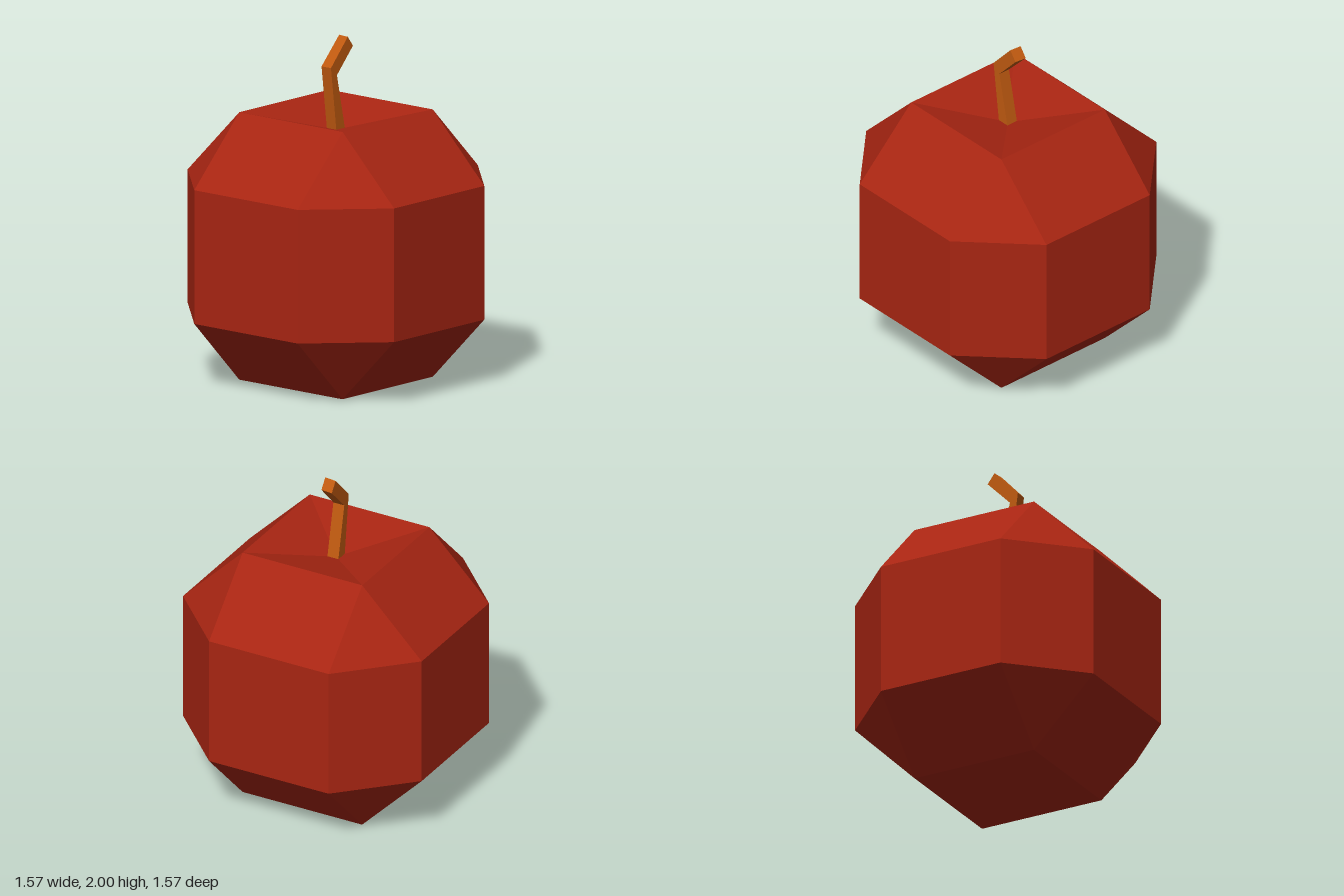
import * as THREE from 'three';

const H = 0.393; // half width of the flat faces
const R = 0.785; // half width of the body

// Eight ring points, anticlockwise seen from above; reach H closes to a square, 0 to a point
function ring(y, h, r) {
  return [[h, r], [r, h], [r, -h], [h, -r], [-h, -r], [-r, -h], [-r, h], [-h, r]]
    .map(([x, z]) => new THREE.Vector3(x, y, z));
}

// Skin the rings from bottom to top with flat faces, leaving out collapsed triangles
function loft(rings) {
  const points = [];
  const addTriangle = (a, b, c) => {
    if (new THREE.Triangle(a, b, c).getArea() > 1e-6) points.push(a, b, c);
  };
  for (let j = 0; j < rings.length - 1; j++) {
    for (let i = 0; i < 8; i++) {
      const k = (i + 1) % 8;
      const [a, b, c, d] = [rings[j][i], rings[j][k], rings[j + 1][k], rings[j + 1][i]];
      addTriangle(a, b, c);
      addTriangle(a, c, d);
    }
  }
  const geometry = new THREE.BufferGeometry().setFromPoints(points);
  geometry.computeVertexNormals();
  return geometry;
}

export function createModel() {
  const model = new THREE.Group();
  model.name = 'fruit';
  const red = new THREE.MeshStandardMaterial({ color: 0xa82512 });
  red.name = 'skin red';
  const brown = new THREE.MeshStandardMaterial({ color: 0xc05a10 });
  brown.name = 'stem brown';

  // Bevelled body with a shallow dimple at both ends
  const body = new THREE.Mesh(loft([
    ring(0.1, 0, 0),
    ring(0, H, H),
    ring(0.393, H, R),
    ring(1.178, H, R),
    ring(1.57, H, H),
    ring(1.46, 0, 0),
  ]), red);
  body.name = 'body';
  model.add(body);

  // Bent stem: side outline as [z, y], extruded across x
  const outline = [[0.036, 1.45], [0.085, 1.84], [-0.065, 2], [-0.11, 1.94], [0.033, 1.79], [-0.04, 1.45]];
  const shape = new THREE.Shape(outline.map(([z, y]) => new THREE.Vector2(-z, y)));
  const geometry = new THREE.ExtrudeGeometry(shape, { depth: 0.072, bevelEnabled: false });
  geometry.translate(0, 0, -0.036).rotateY(Math.PI / 2);
  // Twist the tip slightly
  const position = geometry.attributes.position;
  for (let i = 0; i < position.count; i++) {
    if (position.getY(i) > 1.9) position.setZ(i, position.getZ(i) + 0.1 * position.getX(i));
  }
  geometry.computeVertexNormals();
  const stem = new THREE.Mesh(geometry, brown);
  stem.name = 'stem';
  model.add(stem);

  return model;
}
